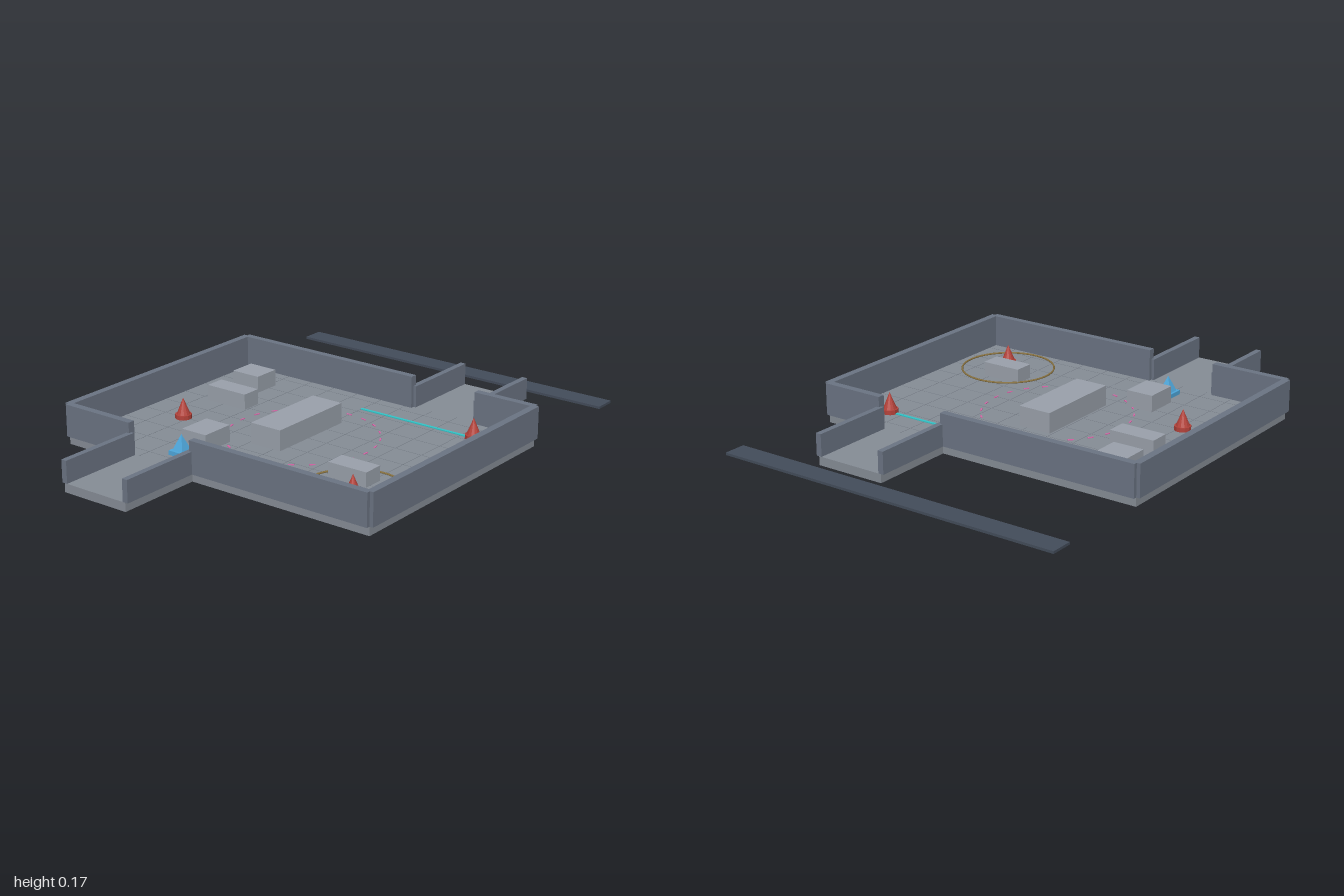
import * as THREE from 'three';

const M = 0.0605;          // one arena metre
const CZ = 0.0925;         // arena centre in z
const FLOOR = 0.036;       // floor top
const HX = 12 * M, HZ = 9 * M;
const BACK = CZ - HZ, FRONT = CZ + HZ;

const mat = (color, flatShading = false) => new THREE.MeshStandardMaterial({ color, flatShading });

export function createModel() {
  const root = new THREE.Group();
  root.name = 'arena';
  const floorMat = mat(0x868d96), wallMat = mat(0x6b7483), coverMat = mat(0x9aa1ab);
  const signMat = mat(0x434c5a), gridMat = mat(0x7d858f), red = mat(0xb5423a, true);
  const blue = mat(0x4fa8dc, true), cyan = mat(0x35c4c8), pink = mat(0xd668a8), gold = mat(0x8a7340);

  const add = (name, geometry, material, x, y, z, parent = root) => {
    const mesh = new THREE.Mesh(geometry, material);
    mesh.name = name;
    mesh.position.set(x, y, z);
    parent.add(mesh);
    return mesh;
  };
  // Box from its extents
  const block = (name, material, x0, x1, y0, y1, z0, z1, parent) =>
    add(name, new THREE.BoxGeometry(x1 - x0, y1 - y0, z1 - z0), material,
      (x0 + x1) / 2, (y0 + y1) / 2, (z0 + z1) / 2, parent);

  // Main floor and perimeter walls
  block('mainFloor', floorMat, -HX, HX, 0, FLOOR, BACK, FRONT);
  const wallTop = FLOOR + 2.2 * M, t = 0.25 * M;
  for (const s of [-1, 1])
    block('sideWall', wallMat, s * HX - t, s * HX + t, FLOOR, wallTop, BACK, FRONT);

  // Each end wall has a gap that opens into a walled corridor
  const half = 2.5 * M, ct = 0.2 * M;
  for (const [name, cx, edge, dir] of [['front', -4 * M, FRONT, 1], ['back', 5 * M, BACK, -1]]) {
    block(name + 'WallLeft', wallMat, cx + half, HX, FLOOR, wallTop, edge - t, edge + t);
    block(name + 'WallRight', wallMat, -HX, cx - half, FLOOR, wallTop, edge - t, edge + t);
    const end = edge + dir * 6 * M;
    const z0 = Math.min(edge, end), z1 = Math.max(edge, end);
    block(name + 'CorridorFloor', floorMat, cx - half, cx + half, 0, FLOOR, z0, z1);
    for (const s of [-1, 1]) {
      const x = cx + s * half;
      block(name + 'CorridorWall', wallMat, x - ct, x + ct, FLOOR, FLOOR + 1.5 * M, z0, z1);
    }
  }

  // Thin floor grid, every two metres
  const grid = new THREE.Group();
  grid.name = 'floorGrid';
  root.add(grid);
  const g = 0.001;
  for (let i = -5; i <= 5; i++)
    block('gridLine', gridMat, i * 2 * M - g, i * 2 * M + g, FLOOR, FLOOR + 0.001, BACK, FRONT, grid);
  for (let i = -4; i <= 4; i++) {
    const z = CZ + i * 2 * M;
    block('gridLine', gridMat, -HX, HX, FLOOR, FLOOR + 0.001, z - g, z + g, grid);
  }

  // Cover blocks: x0, x1, z0, z1, height
  for (const [x0, x1, z0, z1, h] of [
    [-0.59, -0.458, -0.312, -0.196, 0.07],
    [-0.566, -0.37, -0.09, -0.005, 0.065],
    [-0.111, 0.032, -0.122, 0.268, 0.085],
    [-0.304, -0.185, 0.308, 0.451, 0.07],
    [0.333, 0.508, 0.273, 0.36, 0.06],
  ]) block('coverBlock', coverMat, x0, x1, FLOOR, FLOOR + h, z0, z1);

  // Markers: a low plinth with a cone on it
  const marker = (name, material, sides, x, z, rBase, rCone, height) => {
    const group = new THREE.Group();
    group.name = name;
    group.position.set(x, FLOOR, z);
    const turn = Math.PI / sides;
    add('base', new THREE.CylinderGeometry(rBase, rBase, 0.018, sides), material, 0, 0.009, 0, group).rotation.y = turn;
    add('cone', new THREE.ConeGeometry(rCone, height, sides), material, 0, 0.018 + height / 2, 0, group).rotation.y = turn;
    root.add(group);
  };
  marker('startMarker', blue, 4, -0.246, 0.52, 0.05, 0.036, 0.064);
  for (const [x, z] of [[-0.505, 0.217], [0.542, -0.3], [0.515, 0.45]])
    marker('enemyMarker', red, 12, x, z, 0.034, 0.028, 0.068);

  // Floor guides: firing line, zone ring, dashed path
  block('firingLine', cyan, 0, 0.61, FLOOR, FLOOR + 0.004, -0.306, -0.294);
  const ring = add('zoneRing', new THREE.TorusGeometry(0.195, 0.004, 6, 64), gold, 0.482, FLOOR + 0.003, 0.405);
  ring.rotation.x = Math.PI / 2;
  const dashes = new THREE.Group();
  dashes.name = 'dashedPath';
  root.add(dashes);
  for (let i = 0; i < 24; i++) {
    const a = (i / 24) * Math.PI * 2, r = 5.05 * M;
    const dash = add('dash', new THREE.BoxGeometry(0.024, 0.003, 0.006), pink,
      r * Math.sin(a), FLOOR + 0.0015, CZ - 0.005 + r * Math.cos(a), dashes);
    dash.rotation.y = a;
  }

  // Blank board lying behind the arena
  block('titleBoard', signMat, -0.757, 0.757, 0.03, 0.04, -1, -0.907);
  return root;
}
